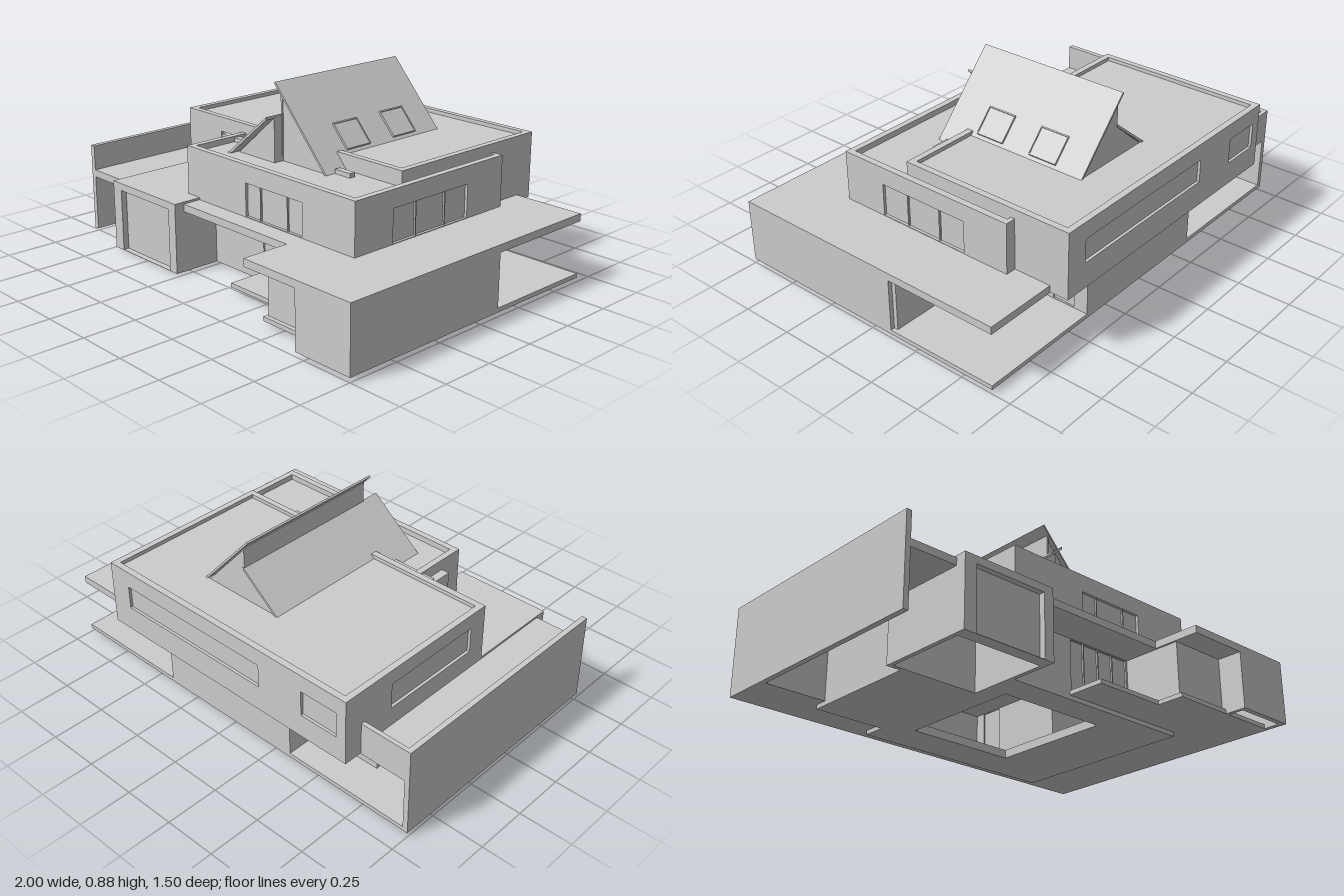
import * as THREE from 'three';

export function createModel() {
  const house = new THREE.Group();
  house.name = 'house';
  const mat = new THREE.MeshStandardMaterial({ color: 0xcccccc, flatShading: true, side: THREE.DoubleSide });

  function add(name, geo) {
    const m = new THREE.Mesh(geo, mat);
    m.name = name;
    house.add(m);
  }
  // Box given by its limits on each axis
  function box(name, x0, x1, y0, y1, z0, z1) {
    const g = new THREE.BoxGeometry(x1 - x0, y1 - y0, z1 - z0);
    add(name, g.translate((x0 + x1) / 2, (y0 + y1) / 2, (z0 + z1) / 2));
  }
  const toPoints = pts => pts.map(p => new THREE.Vector2(p[0], p[1]));
  const rect = (a0, a1, b0, b1) => [[a0, b0], [a1, b0], [a1, b1], [a0, b1]];
  function extrude(pts, depth, holes = []) {
    const s = new THREE.Shape(toPoints(pts));
    for (const h of holes) s.holes.push(new THREE.Path(toPoints(h)));
    return new THREE.ExtrudeGeometry(s, { depth, bevelEnabled: false });
  }
  // Outline in x-y swept along z
  const prism = (name, pts, z0, z1) => add(name, extrude(pts, z1 - z0).translate(0, 0, z0));
  // Outline in x-z swept along y
  const slab = (name, pts, y0, y1, holes) =>
    add(name, extrude(pts, y1 - y0, holes).rotateX(Math.PI / 2).translate(0, y1, 0));
  // Wall between at and at + t on its axis, with recessed panes and mullions in its openings
  function wall(name, axis, at, t, a0, a1, y0, y1, openings) {
    const place = (g, d) => axis === 'x'
      ? g.rotateY(-Math.PI / 2).translate(at + d, 0, 0)
      : g.translate(0, 0, at + d);
    const g = extrude(rect(a0, a1, y0, y1), t, openings.map(o => rect(...o.slice(0, 4))));
    add(name, place(g, axis === 'x' ? t : 0));
    for (const [b0, b1, c0, c1, bars = []] of openings) {
      const pane = new THREE.BoxGeometry(b1 - b0, c1 - c0, 0.004).translate((b0 + b1) / 2, (c0 + c1) / 2, 0);
      add(name + 'Pane', place(pane, t / 2));
      for (const b of bars) {
        const bar = new THREE.BoxGeometry(0.006, c1 - c0, 0.02).translate(b, (c0 + c1) / 2, 0);
        add(name + 'Mullion', place(bar, t / 2));
      }
    }
  }

  // Foundation and ground floor slab, open in the middle
  const well = [rect(-0.2, 0.35, -0.4, 0.2)];
  slab('foundation', [[-0.28, 0.34], [0.71, 0.34], [0.71, -0.59], [-0.33, -0.59], [-0.33, -0.48], [-0.66, -0.48], [-0.66, 0.1], [-0.28, 0.1]], 0, 0.02, well);
  slab('groundFloor', [[0.04, 0.52], [0.4, 0.52], [0.4, 0.65], [0.99, 0.65], [0.99, -0.11], [1, -0.11], [1, -0.66],
    [-0.985, -0.66], [-0.985, -0.42], [-0.3, -0.42], [-0.3, 0.34], [0.04, 0.34]], 0.02, 0.04, well);

  // Wide flat roof over the ground floor
  slab('lowerRoof', [[-1, 0.52], [0.4, 0.52], [0.4, 0.75], [1, 0.75], [1, -0.66], [-1, -0.66]], 0.285, 0.32);

  // Boundary wall along the side and round the back corner
  box('boundarySideWall', -1, -0.975, 0.02, 0.44, -0.66, 0.52);
  box('boundaryBackWall', -0.975, -0.75, 0.285, 0.44, -0.66, -0.64);
  box('passageEndWall', -0.975, -0.66, 0.03, 0.29, -0.44, -0.42);

  // Projecting wing
  box('wingSideWall', 0.975, 1, 0.02, 0.3, -0.11, 0.75);
  box('wingFrontWall', 0.7, 1, 0.02, 0.3, 0.725, 0.75);
  box('wingReturnWall', 0.7, 0.72, 0.02, 0.3, 0.62, 0.73);
  box('wingEntryWall', 0.41, 0.7, 0.04, 0.3, 0.61, 0.63);
  box('wingInnerWall', 0.41, 0.43, 0.04, 0.3, 0.34, 0.63);
  box('wingBackWall', 0.4, 0.98, 0.04, 0.3, -0.13, -0.11);

  // Ground floor walls
  wall('groundFrontWall', 'z', 0.32, 0.02, -0.3, 0.43, 0.02, 0.29, [[0.05, 0.4, 0.045, 0.28, [0.13, 0.22, 0.31]]]);
  box('groundBackWall', -0.35, 0.4, 0.02, 0.29, -0.66, -0.64);
  wall('groundSideWall', 'x', 0.38, 0.02, -0.65, -0.11, 0.02, 0.29, [[-0.59, -0.48, 0.042, 0.284]]);
  box('recessSideWall', -0.35, -0.33, 0.02, 0.29, -0.65, -0.46);
  box('recessBackWall', -0.68, -0.33, 0.02, 0.29, -0.48, -0.46);
  box('passageWall', -0.68, -0.66, 0, 0.29, -0.48, 0.1);

  // Garage
  wall('garageFront', 'z', 0.51, 0.06, -0.75, -0.28, 0, 0.33, [[-0.69, -0.33, 0.002, 0.295]]);
  for (const x of [-0.75, -0.3]) box('garageSideWall', x, x + 0.02, 0, 0.33, 0.1, 0.55);
  box('garageBackWall', -0.75, -0.28, 0, 0.3, 0.1, 0.12);
  box('garageRoof', -0.75, -0.28, 0.3, 0.33, 0.1, 0.57);

  // Front upper storey with parapet
  const t = 0.03;
  wall('frontStoreyWall', 'z', 0.43 - t, t, -0.36, 0.7, 0.32, 0.557, [[0.04, 0.395, 0.323, 0.475, [0.13, 0.3]]]);
  wall('frontStoreySideWall', 'x', 0.7 - t, t, -0.48, 0.43 - t, 0.32, 0.557, [[-0.25, 0.21, 0.323, 0.475, [-0.11, 0.07]]]);
  box('frontStoreyLeftWall', -0.36, -0.36 + t, 0.32, 0.557, 0.11, 0.43 - t);
  box('frontStoreyEndWall', 0.64, 0.7 - t, 0.32, 0.557, -0.48, -0.46);
  box('frontStoreyRoof', -0.34, 0.68, 0.515, 0.53, 0.1, 0.41);
  box('frontStoreyRoofStrip', 0.64, 0.68, 0.515, 0.53, -0.47, 0.1);
  // Short parapets beside the gable
  box('leftInnerParapet', -0.42, -0.2, 0.525, 0.55, 0.15, 0.18);
  box('rightInnerParapet', 0.33, 0.42, 0.525, 0.55, 0.15, 0.18);
  // Small side bay
  box('sideBay', -0.4, -0.36, 0.32, 0.505, 0.11, 0.31);
  box('sideBayFin', -0.42, -0.36, 0.34, 0.55, 0.15, 0.18);

  // Rear upper storey with parapet
  wall('rearStoreyBackWall', 'z', -0.75, t, -0.75, 0.65, 0.29, 0.6, [[-0.27, 0.54, 0.41, 0.52], [-0.7, -0.51, 0.4, 0.52]]);
  wall('rearStoreyLeftWall', 'x', -0.75, t, -0.72, 0.08, 0.29, 0.6, [[-0.48, 0.02, 0.41, 0.53]]);
  box('rearStoreyRightWall', 0.65 - t, 0.65, 0.29, 0.6, -0.72, 0.08);
  wall('rearStoreyFrontWall', 'z', 0.08, t, -0.75, 0.65, 0.29, 0.56, [[-0.51, -0.42, 0.42, 0.53]]);
  box('rearLeftParapet', -0.75, -0.14, 0.56, 0.6, 0.08, 0.11);
  box('rearRightParapet', 0.27, 0.65, 0.56, 0.6, 0.08, 0.11);
  box('rearStoreyRoof', -0.73, 0.63, 0.565, 0.582, -0.73, 0.1);
  box('rearStoreyFloor', -0.74, 0.64, 0.292, 0.31, -0.74, 0.1);

  // Split gable: steep right plane overshooting the lower left plane
  prism('rightRoofPlane', [[0.01, 0.88], [0.003, 0.874], [0.322, 0.524], [0.33, 0.53]], -0.525, 0.23);
  prism('leftRoofPlane', [[0.04, 0.743], [0.04, 0.73], [-0.21, 0.523], [-0.22, 0.53]], -0.525, 0.31);
  box('ridgeWall', 0.035, 0.045, 0.53, 0.835, -0.52, 0.22);
  box('lowRidgeWall', 0.035, 0.042, 0.53, 0.735, 0.22, 0.265);
  for (const [zl, zr] of [[0.25, 0.2], [-0.52, -0.52]]) {
    prism('leftGableWall', [[-0.2, 0.525], [0.04, 0.525], [0.04, 0.73]], zl, zl + 0.015);
    prism('rightGableWall', [[0.035, 0.525], [0.31, 0.525], [0.035, 0.83]], zr, zr + 0.015);
  }

  // Skylights
  const slope = x => 0.88 - (x - 0.01) * 1.094;
  const strip = (x0, x1, lift) => [[x0, slope(x0) - 0.004], [x1, slope(x1) - 0.004],
    [x1 + lift, slope(x1) + lift * 0.9], [x0 + lift, slope(x0) + lift * 0.9]];
  for (const z of [-0.02, -0.31]) {
    prism('skylightPane', strip(0.18, 0.27, 0.004), z - 0.07, z + 0.07);
    for (const s of [-1, 1]) prism('skylightSideFrame', strip(0.18, 0.27, 0.007), z + s * 0.07 - 0.002, z + s * 0.07 + 0.002);
    for (const x of [0.18, 0.266]) prism('skylightEndFrame', strip(x, x + 0.004, 0.007), z - 0.07, z + 0.07);
  }
  return house;
}
